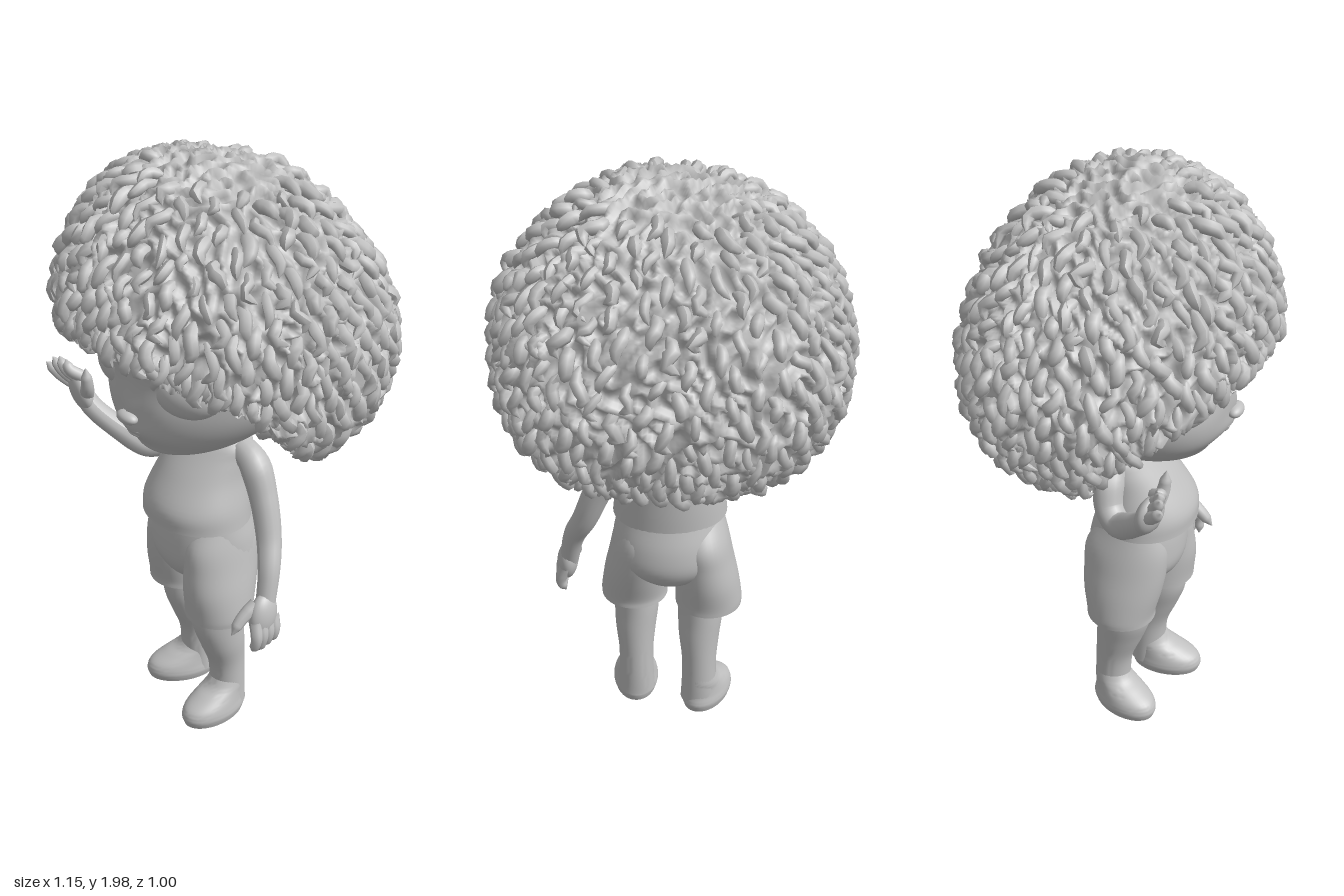
import * as THREE from 'three';
import { mergeVertices, toCreasedNormals, mergeGeometries } from 'three/addons/utils/BufferGeometryUtils.js';

const V = (x, y, z) => new THREE.Vector3(x, y, z);
const { smoothstep } = THREE.MathUtils;

// Stacked elliptical rings [y, cx, cz, rx, rz], listed upwards and smoothed, with closed ends.
function loft(rings, seg = 36, sub = 5, crease = 0.9) {
  const centre = new THREE.CatmullRomCurve3(rings.map(r => V(r[1], r[0], r[2])), false, 'catmullrom');
  const radius = new THREE.CatmullRomCurve3(rings.map(r => V(r[3], 0, r[4])), false, 'catmullrom');
  const n = (rings.length - 1) * sub, pos = [], idx = [];
  for (let i = 0; i <= n; i++) {
    const c = centre.getPoint(i / n), r = radius.getPoint(i / n);
    for (let j = 0; j < seg; j++) {
      const a = j / seg * Math.PI * 2;
      pos.push(c.x + r.x * Math.cos(a), c.y, c.z + r.z * Math.sin(a));
    }
  }
  const bottom = (n + 1) * seg, top = bottom + 1, first = rings[0], last = rings[rings.length - 1];
  pos.push(first[1], first[0], first[2], last[1], last[0], last[2]);
  for (let j = 0; j < seg; j++) {
    const k = (j + 1) % seg;
    for (let i = 0; i < n; i++) {
      const a = i * seg + j, b = i * seg + k;
      idx.push(a, a + seg, b, b, a + seg, b + seg);
    }
    idx.push(bottom, j, k, top, n * seg + k, n * seg + j);
  }
  const geo = new THREE.BufferGeometry();
  geo.setAttribute('position', new THREE.Float32BufferAttribute(pos, 3));
  geo.setIndex(idx);
  return crease ? toCreasedNormals(geo, crease) : geo;
}

// Tube with a changing radius along a smooth path.
function limb(points, radii, n = 20, seg = 14) {
  const curve = new THREE.CatmullRomCurve3(points.map(p => V(...p)));
  const geo = new THREE.TubeGeometry(curve, n, 1, seg);
  const p = geo.attributes.position, v = V(0, 0, 0);
  for (let i = 0; i <= n; i++) {
    const c = curve.getPointAt(i / n), t = i / n * (radii.length - 1);
    const k = Math.min(Math.floor(t), radii.length - 2);
    const r = radii[k] + (radii[k + 1] - radii[k]) * (t - k);
    for (let j = 0; j <= seg; j++) {
      const q = i * (seg + 1) + j;
      v.fromBufferAttribute(p, q).sub(c).multiplyScalar(r).add(c);
      p.setXYZ(q, v.x, v.y, v.z);
    }
  }
  geo.computeVertexNormals();
  return geo;
}

// Underside of the hair: high over the face, low at the sides and back.
const hairline = (x, z) => 1.08 + smoothstep(z, -0.08, 0.27) * (0.425 - 0.7 * x * x);

function hairBase(d) {
  const wide = 1 + (d.z < 0 ? 0.3 : -0.14) * d.z * d.z;
  return V(0.55 * d.x * wide, 1.46 + 0.518 * d.y + 0.04 * d.z, 0.47 * d.z);
}

// Warped worm-like ridges that run mostly downwards.
function ridges(p) {
  const x = 54 * (p.x + 0.03 * Math.sin(13 * p.y + 7 * p.z) + 0.015 * Math.sin(31 * p.z));
  const y = 36 * (p.y + 0.035 * Math.sin(15 * p.x + 4 * p.z) + 0.015 * Math.sin(27 * p.x));
  const z = 54 * (p.z + 0.03 * Math.sin(12 * p.y - 9 * p.x) + 0.015 * Math.sin(29 * p.y));
  const g = Math.sin(x) * Math.cos(y) + Math.sin(y) * Math.cos(z) + Math.sin(z) * Math.cos(x);
  return 0.5 - Math.min(Math.abs(g), 1.3);
}

function hairGeometry() {
  let geo = new THREE.IcosahedronGeometry(1, 52);
  geo.deleteAttribute('uv');
  geo.deleteAttribute('normal');
  geo = mergeVertices(geo, 1e-5);
  const p = geo.attributes.position, d = V(0, 0, 0);
  for (let i = 0; i < p.count; i++) {
    d.fromBufferAttribute(p, i).normalize();
    const q = hairBase(d), bump = ridges(q);
    q.addScaledVector(d, 0.03 * bump + 0.01 * Math.sin(17 * q.x + 3) * Math.sin(19 * q.y));
    q.y = Math.max(q.y, hairline(q.x, q.z) - 0.04 * bump);
    p.setXYZ(i, q.x, q.y, q.z);
  }
  geo.computeVertexNormals();
  return geo;
}

// Short wavy locks half sunk into the hair, hanging a little below its rim.
function lockGeometry() {
  let seed = 7;
  const rnd = () => (seed = (seed * 16807) % 2147483647) / 2147483647;
  const locks = [], total = 620;
  for (let i = 0; i < total; i++) {
    const y = 1 - 2 * (i + 0.5) / total, a = i * 2.39996, s = Math.sqrt(1 - y * y);
    const d = V(s * Math.cos(a), y, s * Math.sin(a)), q = hairBase(d), low = hairline(q.x, q.z);
    if (y > 0.93 || q.y < low - 0.16) continue;
    q.y = Math.max(q.y, low + 0.025);
    const down = V(0, -1, 0).addScaledVector(d, d.y).normalize(), across = d.clone().cross(down);
    const len = 0.06 + 0.05 * rnd(), lift = 0.004 + 0.012 * rnd();
    const at = (t, w, h) => q.clone().addScaledVector(down, t * len)
      .addScaledVector(across, w * (rnd() - 0.5)).addScaledVector(d, h).toArray();
    const r = 0.016 + 0.008 * rnd();
    locks.push(limb([at(-0.4, 0.03, -0.022), at(0, 0.03, lift - 0.008), at(0.35, 0.05, lift), at(0.7, 0.06, -0.004)],
      [0.006, r, r, r, r * 0.8, 0.001], 6, 7));
  }
  return mergeGeometries(locks);
}

function headGeometry() {
  const geo = loft([
    [1.07, 0, 0.14, 0.06, 0.07], [1.078, 0, 0.12, 0.13, 0.155], [1.11, 0, 0.09, 0.195, 0.21],
    [1.17, 0, 0.06, 0.26, 0.28], [1.25, 0, 0.045, 0.305, 0.308], [1.35, 0, 0.04, 0.322, 0.32],
    [1.45, 0, 0.03, 0.318, 0.325], [1.56, 0, 0, 0.29, 0.29], [1.68, 0, 0, 0.14, 0.14]], 72, 7, 0);
  // Hollow the eye sockets, then raise the nose bridge and the mouth.
  const p = geo.attributes.position;
  for (let i = 0; i < p.count; i++) {
    const x = p.getX(i), y = p.getY(i), z = p.getZ(i);
    if (z < 0.1) continue;
    const mound = (cx, cy, w, h) => Math.exp(-(((Math.abs(x) - cx) / w) ** 2) - ((y - cy) / h) ** 2);
    p.setZ(i, z - 0.022 * mound(0.16, 1.34, 0.1, 0.07)
      + 0.012 * mound(0, 1.18, 0.06, 0.035) + 0.014 * mound(0, 1.25, 0.03, 0.06));
  }
  geo.computeVertexNormals();
  return geo;
}

export function createModel() {
  const model = new THREE.Group();
  const clay = new THREE.MeshStandardMaterial({ color: 0xc0c0c0 });
  clay.name = 'greyClay';
  const add = (name, geo) => {
    const mesh = new THREE.Mesh(geo, clay);
    mesh.name = name;
    model.add(mesh);
    return mesh;
  };
  const blob = (name, at, size, turn = [0, 0, 0]) => {
    const mesh = add(name, new THREE.SphereGeometry(1, 28, 20));
    mesh.position.set(...at);
    mesh.scale.set(...size);
    mesh.rotation.set(...turn);
  };

  // Hair and head
  add('hair', hairGeometry());
  add('hairLocks', lockGeometry());
  add('head', headGeometry());
  add('neck', loft([[0.98, 0, 0, 0.075, 0.065], [1.05, 0, 0.005, 0.062, 0.06], [1.14, 0, 0.02, 0.065, 0.065]]));
  blob('nose', [0, 1.228, 0.365], [0.042, 0.021, 0.026]);
  blob('upperLip', [0, 1.18, 0.345], [0.04, 0.009, 0.012]);
  blob('lowerLip', [0, 1.162, 0.336], [0.032, 0.01, 0.013]);
  for (const s of [1, -1]) {
    const side = s > 0 ? 'left' : 'right';
    blob(side + 'Eye', [s * 0.163, 1.33, 0.262], [0.108, 0.074, 0.06], [0, s * 0.42, 0]);
    add(side + 'Eyelid', limb([[s * 0.065, 1.36, 0.322], [s * 0.16, 1.4, 0.305], [s * 0.27, 1.365, 0.232]],
      [0.003, 0.01, 0.01, 0.003]));
    add(side + 'Eyebrow', limb([[s * 0.06, 1.408, 0.35], [s * 0.16, 1.436, 0.318], [s * 0.28, 1.412, 0.205]],
      [0.004, 0.014, 0.014, 0.003]));
  }

  // Clothes
  add('shirt', loft([
    [0.775, 0, 0.083, 0.192, 0.166], [0.84, 0, 0.079, 0.184, 0.165], [0.93, 0, 0.05, 0.162, 0.138],
    [1.0, 0, 0.022, 0.156, 0.112], [1.045, 0, 0.004, 0.15, 0.092], [1.075, 0, 0, 0.085, 0.072]], 48));
  add('collar', new THREE.TorusGeometry(0.08, 0.006, 8, 32).rotateX(Math.PI / 2).translate(0, 1.073, 0));
  add('shorts', loft([
    [0.535, 0, 0.05, 0.05, 0.07], [0.56, 0, 0.05, 0.12, 0.125], [0.62, 0, 0.05, 0.19, 0.158],
    [0.7, 0, 0.053, 0.193, 0.158], [0.79, 0, 0.06, 0.175, 0.14]], 48));

  // Legs, with the left one a step ahead
  for (const [side, x, z, legX, turn] of [['left', 0.122, 0.095, 0.12, 0], ['right', -0.13, 0.032, -0.098, -0.45]]) {
    add(side + 'ShortsLeg', loft([
      [0.43, x, z, 0.113, 0.115], [0.46, x, z, 0.113, 0.117], [0.54, x * 0.95, z * 0.8 + 0.01, 0.108, 0.133],
      [0.62, x * 0.88, z * 0.5 + 0.025, 0.1, 0.14], [0.7, x * 0.8, z * 0.3 + 0.035, 0.094, 0.138],
      [0.78, x * 0.72, 0.06, 0.084, 0.1]]));
    add(side + 'Leg', loft([
      [0.04, legX, z - 0.04, 0.064, 0.06], [0.12, legX, z - 0.04, 0.06, 0.061],
      [0.21, legX, z - 0.035, 0.06, 0.064], [0.3, legX, z - 0.016, 0.07, 0.08],
      [0.39, legX - 0.004, z, 0.077, 0.092], [0.5, legX, z, 0.077, 0.09]]));
    const foot = add(side + 'Foot', loft([
      [0.008, 0, 0, 0.072, 0.118], [0.035, 0, 0, 0.079, 0.126], [0.065, 0, -0.004, 0.074, 0.116],
      [0.095, 0, -0.028, 0.066, 0.089], [0.12, 0, -0.052, 0.06, 0.068], [0.16, 0, -0.066, 0.05, 0.053]]));
    foot.position.set(legX + (turn ? -0.03 : 0.002), 0, z + (turn ? 0.012 : 0.027));
    foot.rotation.y = turn;
  }

  // Left arm, hanging
  add('leftArm', limb([[0.125, 1.025, 0], [0.185, 1.0, 0.005], [0.237, 0.9, 0.01], [0.287, 0.77, 0.03],
    [0.325, 0.68, 0.065], [0.345, 0.56, 0.1]], [0.045, 0.052, 0.047, 0.044, 0.04, 0.035, 0.032], 40));
  blob('leftPalm', [0.352, 0.545, 0.115], [0.036, 0.075, 0.054], [-0.25, 0, 0.1]);
  for (let i = 0; i < 4; i++) {
    const z = 0.078 + i * 0.026;
    add('leftFinger', limb([[0.36, 0.54, z], [0.376, 0.48, z + 0.008], [0.36, 0.42 + 0.008 * Math.abs(i - 2), z + 0.012]],
      [0.02, 0.02, 0.02, 0.018, 0.017, 0.001], 16, 10));
  }
  add('leftThumb', limb([[0.335, 0.585, 0.13], [0.325, 0.545, 0.185], [0.322, 0.5, 0.225]],
    [0.024, 0.024, 0.021, 0.018, 0.001]));

  // Right arm, bent and waving
  add('rightArm', limb([[-0.125, 1.025, 0], [-0.18, 0.995, 0.005], [-0.222, 0.92, 0.02], [-0.255, 0.893, 0.06],
    [-0.315, 0.95, 0.13], [-0.38, 1.03, 0.195], [-0.41, 1.07, 0.21]],
  [0.045, 0.052, 0.047, 0.044, 0.043, 0.038, 0.036, 0.034], 40));
  blob('rightPalm', [-0.427, 1.09, 0.213], [0.064, 0.074, 0.034], [0.2, -0.3, 0.6]);
  for (let i = 0; i < 4; i++) {
    const bx = -0.465 + 0.02 * i, by = 1.105 + 0.015 * i;
    const tx = -0.525 + 0.023 * i, ty = [1.178, 1.203, 1.21, 1.203][i];
    add('rightFinger', limb([[bx, by, 0.22], [(bx + tx) / 2 - 0.004, (by + ty) / 2, 0.25], [tx, ty, 0.275 - 0.01 * i]],
      [0.02, 0.021, 0.021, 0.019, 0.017, 0.001], 16, 10));
  }
  add('rightThumb', limb([[-0.395, 1.085, 0.215], [-0.362, 1.135, 0.235], [-0.355, 1.21, 0.245]],
    [0.026, 0.024, 0.021, 0.018, 0.001]));

  return model;
}
